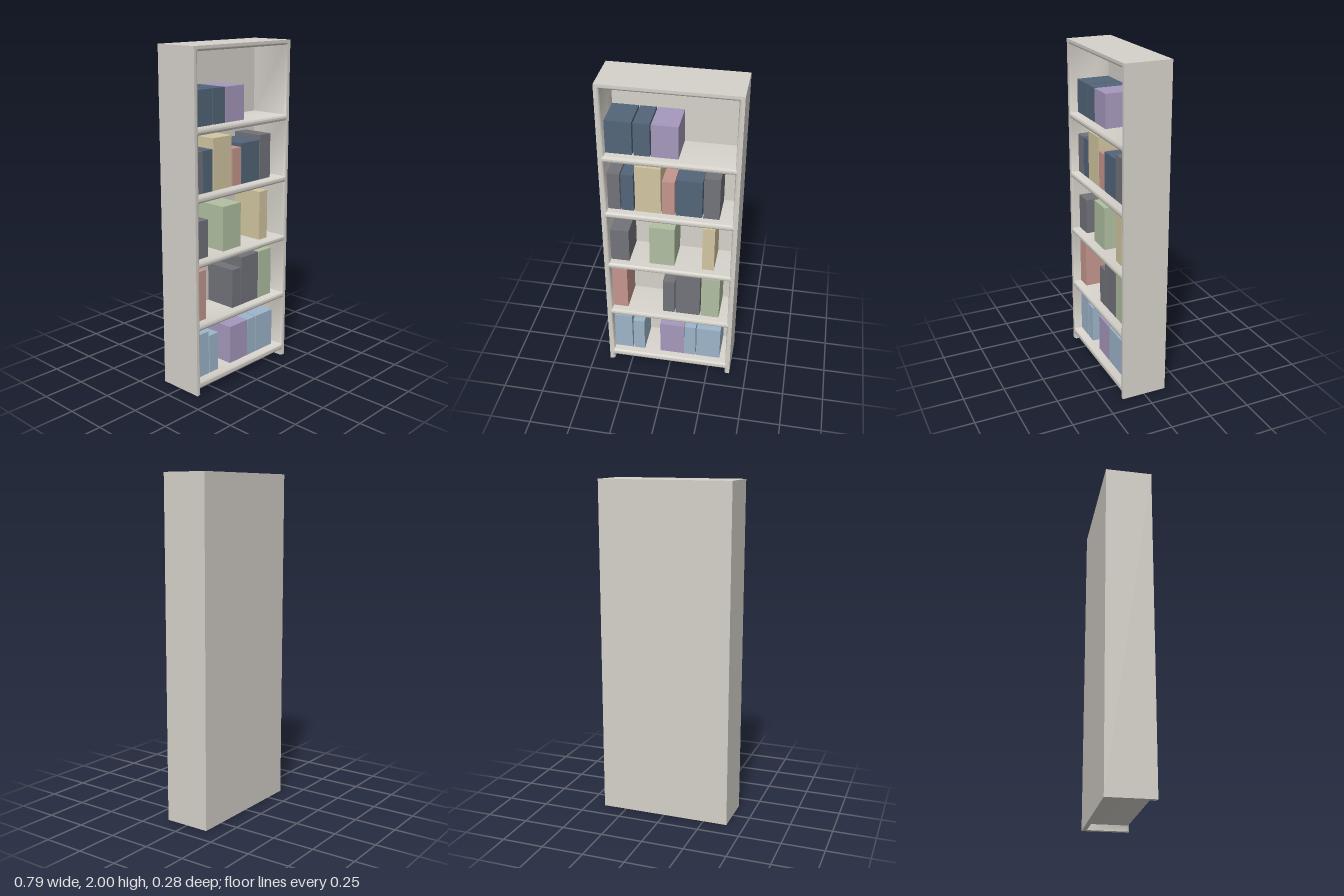
import * as THREE from 'three';
import { toCreasedNormals } from 'three/addons/utils/BufferGeometryUtils.js';

const W = 0.395, H = 2, D = 0.139;   // half width, height, half depth
const IN = 0.364, BACK = -0.112;     // inner half width, inner back wall
const R = 0.014;                     // rounding of the opening edges
const SEG = 8;                       // steps per rounded corner

const mat = (name, color) => {
  const m = new THREE.MeshStandardMaterial({ color });
  m.name = name;
  return m;
};

// Outline of an opening grown outward by e, with corners of radius e, kept above the floor
function ring(y0, y1, e) {
  const pts = [];
  const corners = [[IN, y1], [-IN, y1], [-IN, y0], [IN, y0]];
  corners.forEach(([x, y], c) => {
    for (let i = 0; i <= SEG; i++) {
      const a = (c + i / SEG) * Math.PI / 2;
      pts.push([x + e * Math.cos(a), Math.max(0, y + e * Math.sin(a))]);
    }
  });
  return pts;
}

// Walls of one compartment: straight from the back, then a quarter round to the front
function nicheGeometry(y0, y1) {
  const rings = [{ e: 0, z: BACK }];
  for (let i = 0; i <= SEG; i++) {
    const b = i / SEG * Math.PI / 2;
    rings.push({ e: R * (1 - Math.cos(b)), z: D - R + R * Math.sin(b) });
  }
  const loops = rings.map(({ e, z }) => ring(y0, y1, e).map(([x, y]) => [x, y, z]));
  const pos = [];
  const same = (p, q) => p.every((v, i) => Math.abs(v - q[i]) < 1e-7);
  const tri = (a, b, c) => {
    if (!same(a, b) && !same(b, c) && !same(a, c)) pos.push(...a, ...b, ...c);
  };
  for (let k = 0; k + 1 < loops.length; k++) {
    const a = loops[k], b = loops[k + 1], n = a.length;
    for (let i = 0; i < n; i++) {
      const j = (i + 1) % n;
      if (a[i][1] + a[j][1] + b[i][1] + b[j][1] === 0) continue; // open floor
      tri(a[i], b[j], a[j]);
      tri(a[i], b[i], b[j]);
    }
  }
  const g = new THREE.BufferGeometry();
  g.setAttribute('position', new THREE.Float32BufferAttribute(pos, 3));
  return toCreasedNormals(g, 0.6);
}

export function createModel() {
  const model = new THREE.Group();
  model.name = 'bookcase';
  const caseMat = mat('warm grey', 0xd5d1ca);
  const colors = {
    navy: mat('navy', 0x536579),
    purple: mat('purple', 0xa698bd),
    tan: mat('tan', 0xd2c5a0),
    red: mat('dusty red', 0xc5968e),
    dark: mat('charcoal', 0x72737a),
    green: mat('sage green', 0xb0bfa1),
    blue: mat('light blue', 0x9db5ca),
  };
  const cabinet = new THREE.Group();
  cabinet.name = 'cabinet';
  model.add(cabinet);
  const add = (name, geo, material = caseMat, parent = cabinet) => {
    const m = new THREE.Mesh(geo, material);
    m.name = name;
    parent.add(m);
    return m;
  };

  // Outer panels
  for (const s of [1, -1]) {
    add(s > 0 ? 'leftSide' : 'rightSide',
      new THREE.PlaneGeometry(2 * D, H).rotateY(s * Math.PI / 2).translate(s * W, H / 2, 0));
  }
  add('topPanel', new THREE.PlaneGeometry(2 * W, 2 * D).rotateX(-Math.PI / 2).translate(0, H, 0));
  add('backPanel', new THREE.PlaneGeometry(2 * W, H).rotateY(Math.PI).translate(0, H / 2, -D));

  // Compartments, from the open plinth upward: [floor, ceiling]
  const niches = [[-0.5, 0.036], [0.079, 0.397], [0.434, 0.774], [0.81, 1.15], [1.187, 1.526], [1.563, 1.971]];
  niches.forEach(([y0, y1], i) => {
    add(i ? 'compartment' + i : 'plinthRecess', nicheGeometry(y0, y1));
    const b = Math.max(0, y0);
    add(i ? 'compartmentBack' + i : 'plinthBack',
      new THREE.PlaneGeometry(2 * IN, y1 - b).translate(0, (y1 + b) / 2, BACK));
  });

  // Front face with rounded openings; the lowest one is open to the floor
  const V = ([x, y]) => new THREE.Vector2(x, y);
  const arch = ring(niches[0][0], niches[0][1], R).slice(0, 2 * (SEG + 1));
  const face = new THREE.Shape([
    [W, 0], [W, H], [-W, H], [-W, 0], [-IN - R, 0], ...arch.reverse(), [IN + R, 0],
  ].map(V));
  for (const [y0, y1] of niches.slice(1)) face.holes.push(new THREE.Path(ring(y0, y1, R).map(V)));
  add('frontFrame', new THREE.ShapeGeometry(face).translate(0, 0, D));

  // Underside of the sides and back
  const foot = new THREE.Shape();
  foot.moveTo(-W, -D);
  foot.lineTo(W, -D);
  foot.lineTo(W, D);
  foot.lineTo(IN + R, D);
  foot.absarc(IN + R, D - R, R, Math.PI / 2, Math.PI, false);
  foot.lineTo(IN, BACK);
  foot.lineTo(-IN, BACK);
  foot.lineTo(-IN, D - R);
  foot.absarc(-IN - R, D - R, R, 0, Math.PI / 2, false);
  foot.lineTo(-W, D);
  add('footEdges', new THREE.ShapeGeometry(foot).rotateX(Math.PI / 2));

  // Books by shelf, bottom first: [left edge, right edge, height, colour]
  const rows = [
    [[-0.363, -0.25, 0.268, 'blue'], [-0.242, -0.17, 0.237, 'blue'], [-0.067, 0.088, 0.237, 'purple'],
      [0.09, 0.163, 0.237, 'blue'], [0.169, 0.321, 0.237, 'blue']],
    [[-0.363, -0.27, 0.3, 'red'], [-0.047, 0.025, 0.24, 'dark'], [0.032, 0.184, 0.3, 'dark'],
      [0.191, 0.304, 0.3, 'green']],
    [[-0.363, -0.25, 0.22, 'dark'], [-0.126, 0.025, 0.268, 'green'], [0.191, 0.263, 0.3, 'tan']],
    [[-0.363, -0.291, 0.24, 'dark'], [-0.284, -0.212, 0.24, 'navy'], [-0.204, -0.054, 0.3, 'tan'],
      [-0.047, 0.025, 0.22, 'red'], [0.032, 0.184, 0.24, 'navy'], [0.191, 0.284, 0.268, 'dark']],
    [[-0.363, -0.212, 0.2, 'navy'], [-0.204, -0.111, 0.2, 'navy'], [-0.104, 0.047, 0.2, 'purple']],
  ];
  const z0 = -0.111, z1 = 0.09;
  rows.forEach((row, r) => {
    const shelf = new THREE.Group();
    shelf.name = 'shelfBooks' + (r + 1);
    shelf.position.y = niches[r + 1][0];
    model.add(shelf);
    row.forEach(([x0, x1, h, c], i) => {
      add('book' + (i + 1), new THREE.BoxGeometry(x1 - x0, h, z1 - z0), colors[c], shelf)
        .position.set((x0 + x1) / 2, h / 2 + 0.0005, (z0 + z1) / 2);
    });
  });
  return model;
}
